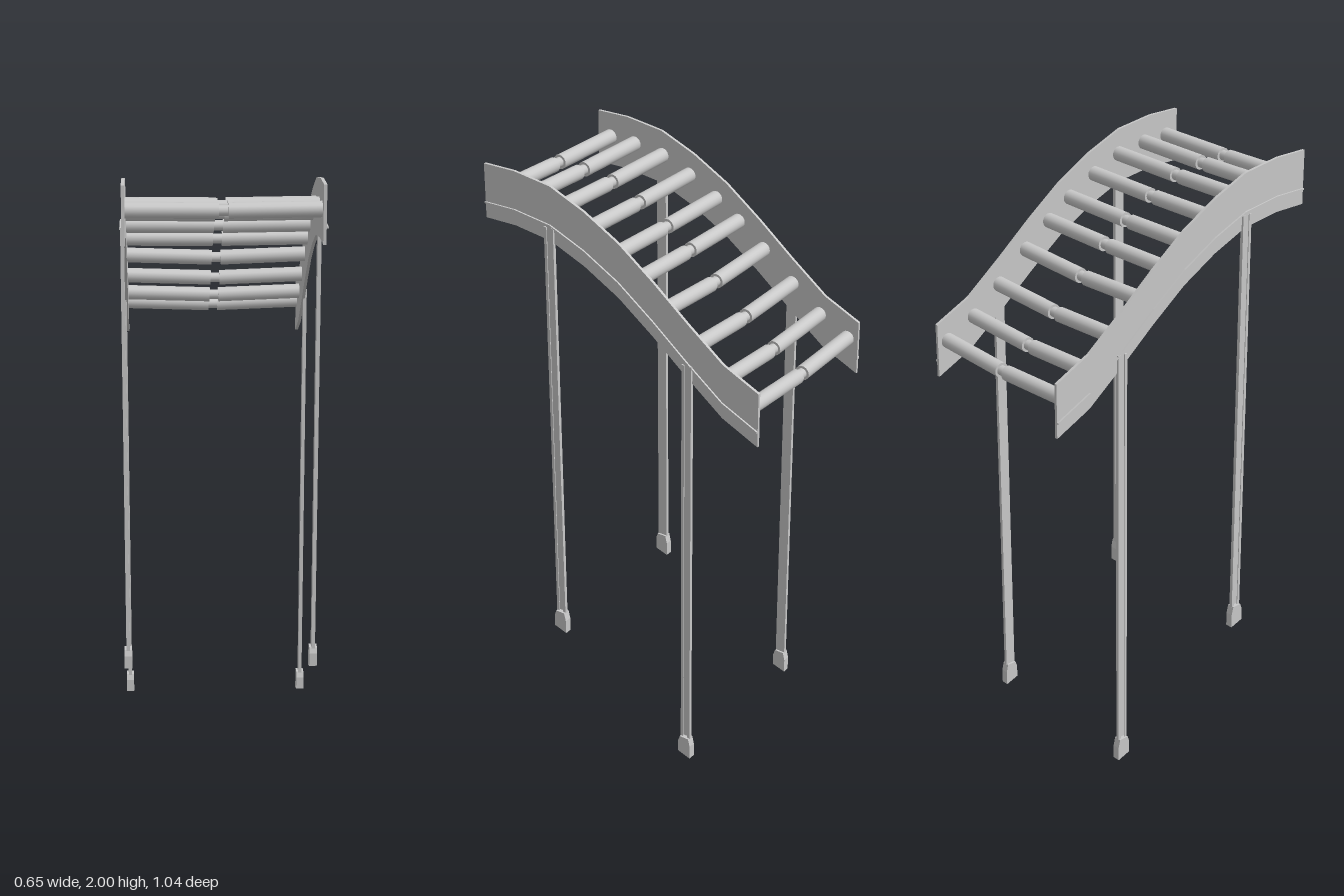
import * as THREE from 'three';

const steel = new THREE.MeshStandardMaterial({ color: 0xc8c8c8 });
steel.name = 'steel grey';

// Lower edge of the side rails as [z, y], from the high end to the low end
const edge = [[0.52, 1.817], [0.4, 1.817], [0.26, 1.797], [0.13, 1.742], [0, 1.668],
  [-0.13, 1.57], [-0.26, 1.463], [-0.39, 1.362], [-0.52, 1.3]];

function edgeY(z) {
  for (let i = 1; i < edge.length; i++) {
    const [z0, y0] = edge[i - 1], [z1, y1] = edge[i];
    if (z >= z1) return y0 + (y1 - y0) * (z0 - z) / (z0 - z1);
  }
  return edge[edge.length - 1][1];
}

function add(parent, name, geometry) {
  const mesh = new THREE.Mesh(geometry, steel);
  mesh.name = name;
  parent.add(mesh);
  return mesh;
}

// Extrudes a [z, y] outline between two x positions
function sidePlate(points, x0, x1) {
  const shape = new THREE.Shape(points.map(([z, y]) => new THREE.Vector2(-z, y)));
  const g = new THREE.ExtrudeGeometry(shape, { depth: x1 - x0, bevelEnabled: false });
  return g.rotateY(Math.PI / 2).translate(x0, 0, 0);
}

// Strip following the rail between two heights above its lower edge
function band(low, high) {
  return [...edge.map(([z, y]) => [z, y + low]),
    ...edge.map(([z, y]) => [z, y + high]).reverse()];
}

// x positions below are for the left side; negative s mirrors them
function place(s, a, b) {
  return s > 0 ? [a, b] : [-b, -a];
}

function addLeg(parent, s, z, footY) {
  const leg = new THREE.Group();
  leg.name = z > 0 ? 'frontLeg' : 'backLeg';
  parent.add(leg);
  const top = edgeY(z) + 0.045, bottom = footY + 0.05, h = top - bottom;
  const y = (top + bottom) / 2;
  // Channel post: web, two flanges with lips
  add(leg, 'postWeb', new THREE.BoxGeometry(0.004, h, 0.036)).position.set(s * 0.306, y, z);
  for (const d of [-1, 1]) {
    add(leg, 'postFlange', new THREE.BoxGeometry(0.012, h, 0.004))
      .position.set(s * 0.31, y, z + d * 0.016);
    add(leg, 'postLip', new THREE.BoxGeometry(0.003, h, 0.01))
      .position.set(s * 0.3145, y, z + d * 0.013);
  }
  // Foot with a narrowed top and a sloping sole
  const foot = [[0.024, 0.016], [-0.024, 0], [-0.024, 0.05], [-0.017, 0.08],
    [0.017, 0.08], [0.024, 0.06]].map(([dz, dy]) => [z + dz, footY + dy]);
  add(leg, 'foot', sidePlate(foot, ...place(s, 0.297, 0.323)));
}

export function createModel() {
  const model = new THREE.Group();
  model.name = 'rollerConveyor';

  for (const s of [-1, 1]) {
    const side = new THREE.Group();
    side.name = s > 0 ? 'leftSide' : 'rightSide';
    model.add(side);
    add(side, 'rail', sidePlate(band(0, 0.183), ...place(s, 0.299, 0.309)));
    add(side, 'railRib', sidePlate(band(0.05, 0.055), ...place(s, 0.308, 0.315)));
    addLeg(side, s, 0.264, 0.32);
    addLeg(side, s, -0.26, 0);
  }

  // Split rollers joined by a thin centre hub; lower ones dip to the middle
  const rollerZ = [0.47, 0.37, 0.256, 0.147, 0.04, -0.05, -0.15, -0.264, -0.372, -0.48];
  for (const z of rollerZ) {
    const row = new THREE.Group();
    row.name = 'rollerRow';
    row.position.set(0, edgeY(z) + 0.1, z);
    model.add(row);
    const dip = z < -0.1 ? 0.01 : 0.003;
    for (const s of [-1, 1]) {
      const roller = add(row, 'roller', new THREE.CylinderGeometry(0.025, 0.025, 0.285, 20));
      roller.position.set(s * 0.1575, -dip / 2, 0);
      roller.rotation.z = Math.PI / 2 + s * dip / 0.285;
    }
    const hub = add(row, 'hub', new THREE.CylinderGeometry(0.017, 0.017, 0.04, 16));
    hub.rotation.z = Math.PI / 2;
    hub.position.y = -dip;
  }
  return model;
}
